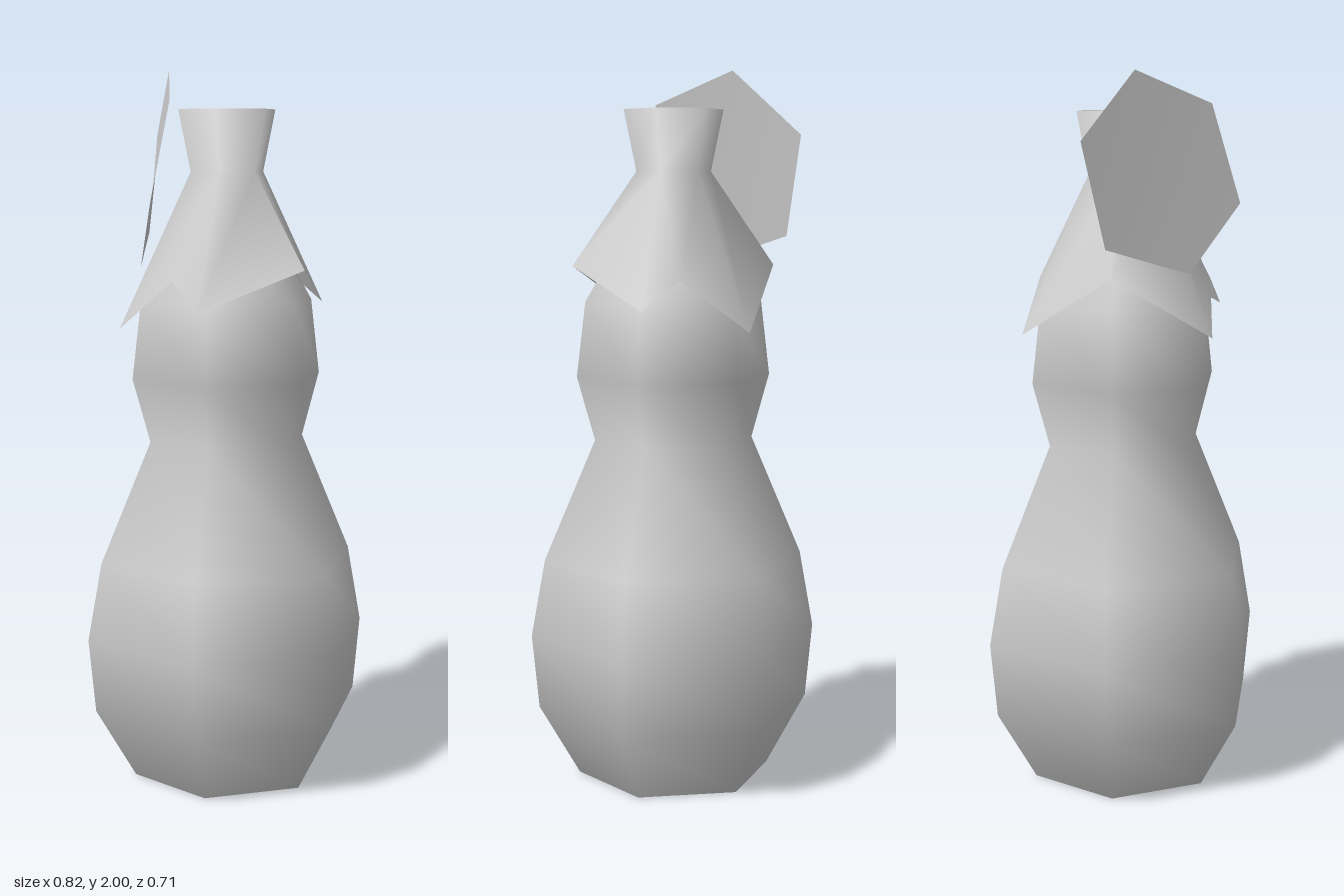
import * as THREE from 'three';

const SIDES = 6;

// Indexed geometry with smooth normals
function smoothGeometry(points, index) {
  const geometry = new THREE.BufferGeometry();
  geometry.setAttribute('position', new THREE.Float32BufferAttribute(points.flat(), 3));
  geometry.setIndex(index);
  geometry.computeVertexNormals();
  return geometry;
}

// Stalk flaring into a ragged collar, as one smooth surface
function stalkGeometry() {
  const points = [[0, 1.89, 0]];
  const index = [];
  for (const [r, y] of [[0.14, 1.89], [0.105, 1.72]]) {
    for (let i = 0; i < SIDES; i++) {
      const t = (i / SIDES) * Math.PI * 2;
      points.push([r * Math.cos(t), y, r * Math.sin(t)]);
    }
  }
  const top = (i) => 1 + (i % SIDES);
  const neck = (i) => 1 + SIDES + (i % SIDES);
  for (let i = 0; i < SIDES; i++) {
    index.push(0, top(i + 1), top(i));
    index.push(neck(i), top(i), neck(i + 1), neck(i + 1), top(i), top(i + 1));
  }

  // Collar rim, mirrored front to back; the first point repeats to leave a crease
  const half = [[0.285, 1.46, 0], [0.13, 1.35, 0.26], [0.02, 1.43, 0.24], [-0.165, 1.29, 0.26], [-0.285, 1.46, 0]];
  const rim = [...half, ...half.slice(0, 4).reverse().map(([x, y, z]) => [x, y, -z])];
  const above = [0, 1, 1, 2, 3, 4, 5, 5, 6];
  const start = points.length;
  points.push(...rim);
  for (let i = 0; i < rim.length - 1; i++) {
    const a = start + i;
    const u = neck(above[i]);
    const v = neck(above[i + 1]);
    index.push(a, u, a + 1);
    if (u !== v) index.push(a + 1, u, v);
  }
  return smoothGeometry(points, index);
}

// Six-cornered leaf, fanned from its centre
function leafGeometry() {
  const corners = [
    [-0.175, 2.0, 0.05], [0.015, 1.91, 0.24], [0.02, 1.64, 0.32],
    [-0.145, 1.46, 0.195], [-0.32, 1.54, -0.01], [-0.345, 1.82, -0.07],
  ];
  const centre = [0, 1, 2].map((k) => corners.reduce((s, c) => s + c[k], 0) / corners.length);
  const index = [];
  corners.forEach((_, i) => index.push(0, 1 + ((i + 1) % 6), 1 + i));
  return smoothGeometry([centre, ...corners], index);
}

export function createModel() {
  const group = new THREE.Group();
  group.name = 'gourd';
  const grey = new THREE.MeshStandardMaterial({ color: 0xcccccc, side: THREE.DoubleSide });
  grey.name = 'light grey';

  const add = (name, geometry) => {
    const mesh = new THREE.Mesh(geometry, grey);
    mesh.name = name;
    group.add(mesh);
    return mesh;
  };

  // Two-lobed body
  const profile = [
    [0.275, 0], [0.39, 0.2], [0.41, 0.41], [0.37, 0.63], [0.225, 0.97],
    [0.275, 1.15], [0.25, 1.36], [0.14, 1.55],
  ].map(([r, y]) => new THREE.Vector2(r, y));
  add('body', new THREE.LatheGeometry(profile, SIDES, Math.PI / 2));

  // Flat underside
  add('base', new THREE.CircleGeometry(0.275, SIDES).rotateX(Math.PI / 2));

  add('stalkAndCollar', stalkGeometry());
  add('leaf', leafGeometry());
  return group;
}
